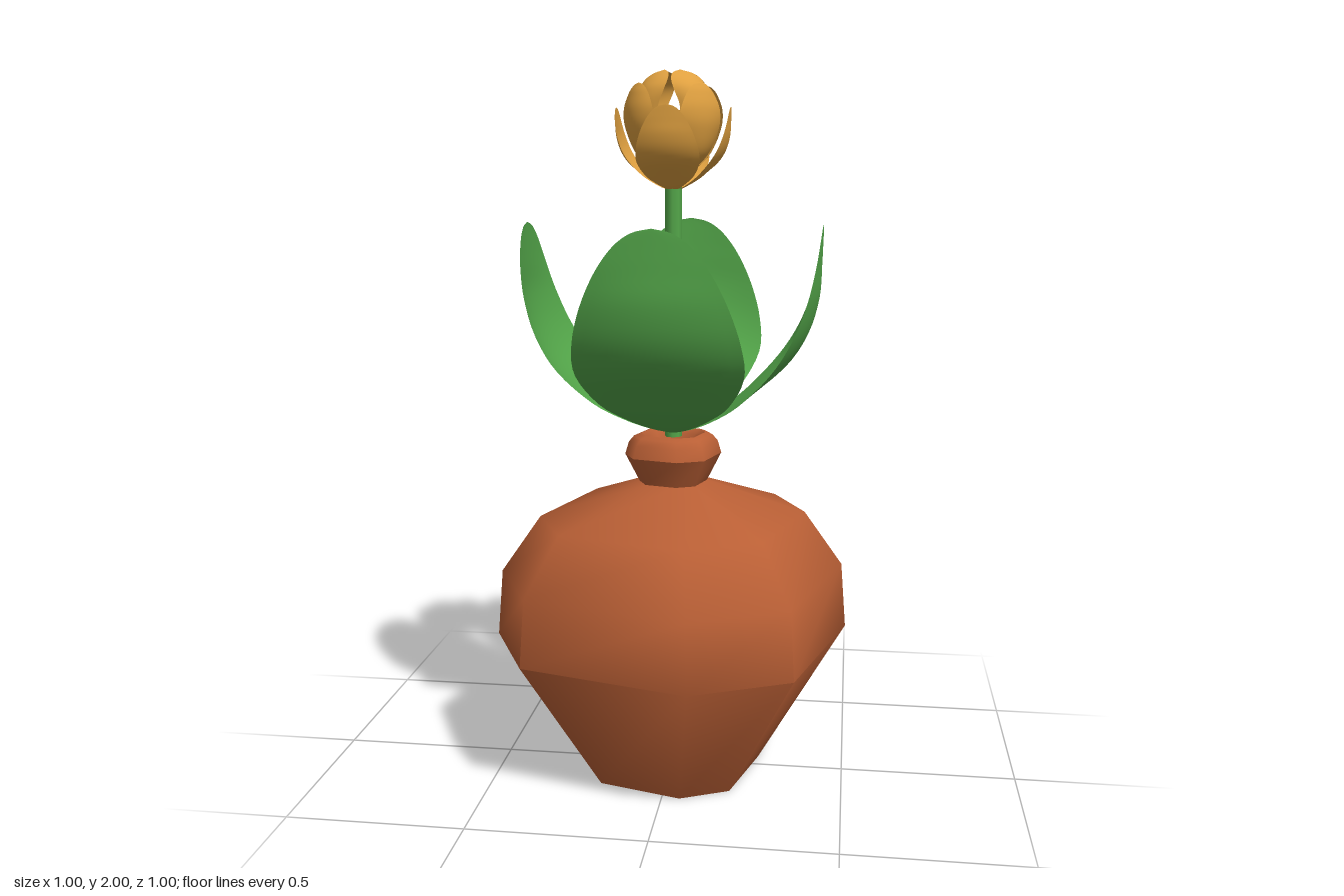
import * as THREE from 'three';
import { toCreasedNormals } from 'three/addons/utils/BufferGeometryUtils.js';

// Grid of points (rows x cols) to an indexed geometry
function gridGeometry(rows, cols, pointAt) {
  const pos = [], idx = [];
  for (let r = 0; r < rows; r++)
    for (let c = 0; c < cols; c++) pos.push(...pointAt(r, c));
  for (let r = 0; r < rows - 1; r++)
    for (let c = 0; c < cols - 1; c++) {
      const a = r * cols + c, b = a + 1, d = a + cols, e = d + 1;
      idx.push(a, d, b, b, d, e);
    }
  const g = new THREE.BufferGeometry();
  g.setAttribute('position', new THREE.Float32BufferAttribute(pos, 3));
  g.setIndex(idx);
  g.computeVertexNormals();
  return g;
}

// Uneven eight-sided ring, repeated up a profile of [radius, height]
const corners = [];
for (let k = 0; k < 4; k++)
  for (const [x, z] of [[1, -0.2], [0.74, 0.74]])
    corners.push(new THREE.Vector2(x, z).rotateAround(new THREE.Vector2(), k * Math.PI / 2));

function turned(name, profile, material) {
  const g = gridGeometry(profile.length, 9, (r, c) => {
    const [rad, y] = profile[r], p = corners[c % 8];
    return [p.x * rad, y, p.y * rad];
  });
  const mesh = new THREE.Mesh(toCreasedNormals(g, 0.95), material);
  mesh.name = name;
  return mesh;
}

// Cupped blade from rows of [height, half width, edge reach, middle reach]
function bladeGeometry(rows) {
  const curve = pts => new THREE.CatmullRomCurve3(pts, false, 'catmullrom', 0.5);
  const middle = curve(rows.map(([y, , , m]) => new THREE.Vector3(m, y, 0)));
  const edge = curve(rows.map(([y, w, e]) => new THREE.Vector3(e, y, w)));
  const n = 41, m = 15;
  return gridGeometry(n, m, (r, c) => {
    const t = r / (n - 1), s = c / (m - 1) * 2 - 1;
    const a = middle.getPoint(t), b = edge.getPoint(t);
    return [a.x + (b.x - a.x) * s * s, a.y, b.z * s];
  });
}

// Four copies around the stem
function whorl(name, geometry, material, turn = 0) {
  const group = new THREE.Group();
  group.name = name + 'Ring';
  for (let k = 0; k < 4; k++) {
    const mesh = new THREE.Mesh(geometry, material);
    mesh.name = name;
    mesh.rotation.y = turn + k * Math.PI / 2;
    group.add(mesh);
  }
  return group;
}

export function createModel() {
  const clay = new THREE.MeshStandardMaterial({ color: 0xb95f35 });
  clay.name = 'terracotta';
  const green = new THREE.MeshStandardMaterial({ color: 0x54a74a, side: THREE.DoubleSide });
  green.name = 'leaf green';
  const gold = new THREE.MeshStandardMaterial({ color: 0xdfa040, side: THREE.DoubleSide });
  gold.name = 'petal gold';

  const model = new THREE.Group();
  model.name = 'pottedFlower';

  // Pot: body with flat base, flared neck, rounded rim with a shallow hollow
  model.add(
    turned('potBody', [[0, 0], [0.25, 0], [0.5, 0.41], [0.485, 0.6], [0.375, 0.76], [0.095, 0.86]], clay),
    turned('potNeck', [[0.095, 0.86], [0.135, 0.94]], clay),
    turned('potRim', [[0.135, 0.94], [0.125, 0.975], [0.11, 0.993], [0.09, 1.0],
      [0.075, 0.985], [0.065, 0.95], [0, 0.95]], clay),
  );

  // Stem
  const stem = new THREE.Mesh(new THREE.CylinderGeometry(0.024, 0.024, 0.73, 8), green);
  stem.name = 'stem';
  stem.position.y = 1.355;
  model.add(stem);

  // Large leaves
  const leafRows = [
    [0, 0.005, 0.005, 0.01], [0.02, 0.052, 0.06, 0.07], [0.055, 0.11, 0.125, 0.128],
    [0.11, 0.175, 0.2, 0.205], [0.2, 0.223, 0.285, 0.318], [0.29, 0.22, 0.342, 0.378],
    [0.39, 0.191, 0.38, 0.407], [0.48, 0.148, 0.4, 0.412], [0.545, 0.1, 0.409, 0.414],
    [0.58, 0.052, 0.413, 0.415], [0.592, 0, 0.415, 0.415],
  ];
  const leaves = whorl('leaf', bladeGeometry(leafRows), green);
  leaves.position.y = 1.0;
  model.add(leaves);

  // Flower: small open petals outside, then two closing rings on the diagonals
  const outer = bladeGeometry(leafRows.map(row => row.map(v => v * 0.38)));
  const middle = bladeGeometry([
    [0.03, 0.005, 0.01, 0.01], [0.055, 0.03, 0.045, 0.06], [0.1, 0.055, 0.085, 0.11],
    [0.165, 0.07, 0.11, 0.135], [0.215, 0.066, 0.119, 0.139], [0.257, 0.045, 0.118, 0.13],
    [0.278, 0.022, 0.117, 0.121], [0.285, 0, 0.117, 0.117],
  ]);
  const inner = bladeGeometry([
    [0.03, 0.005, 0.01, 0.01], [0.07, 0.03, 0.05, 0.065], [0.14, 0.038, 0.076, 0.095],
    [0.22, 0.042, 0.084, 0.106], [0.265, 0.055, 0.075, 0.098], [0.292, 0.054, 0.061, 0.08],
    [0.312, 0.036, 0.044, 0.055], [0.322, 0, 0.03, 0.03],
  ]);
  const flower = new THREE.Group();
  flower.name = 'flower';
  flower.position.y = 1.678;
  flower.add(
    whorl('outerPetal', outer, gold),
    whorl('middlePetal', middle, gold, Math.PI / 4),
    whorl('innerPetal', inner, gold, Math.PI / 4),
  );
  model.add(flower);
  return model;
}
